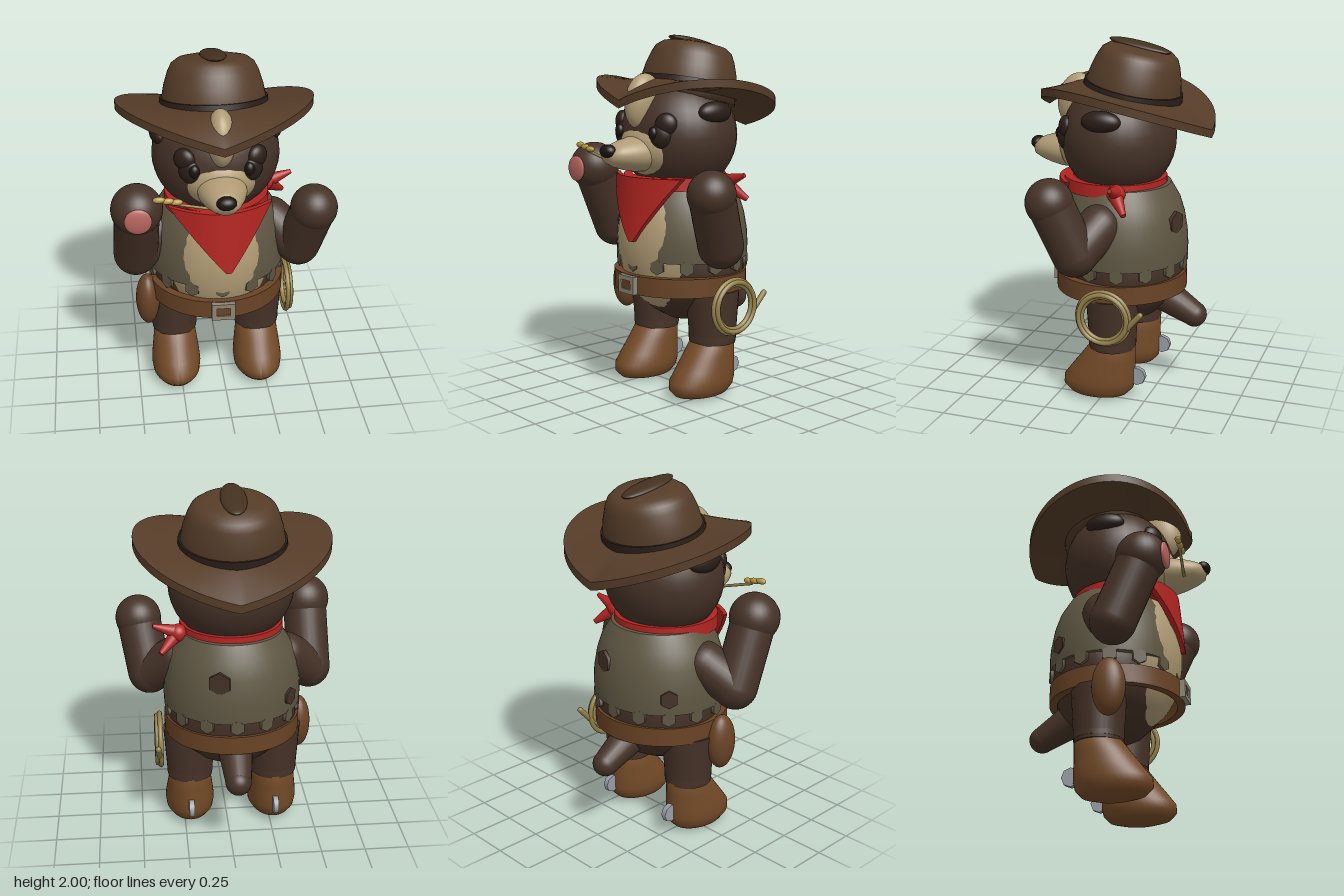
import * as THREE from 'three';
import { toCreasedNormals } from 'three/addons/utils/BufferGeometryUtils.js';

const FUR = 0x453227, DARK = 0x2b1e18, HAT = 0x553c28, CREAM = 0xb09b74, VEST = 0x5f5743, RED = 0xb02420,
  BELT = 0x694325, BOOT = 0x734a27, ROPE = 0x94804a, STEEL = 0x9a9fa6, PINK = 0xb86660, BLACK = 0x1a1411;

export function createModel() {
  const root = new THREE.Group();
  root.name = 'cowboyBear';
  const model = new THREE.Group();
  model.name = 'figure';
  model.position.x = -0.03;
  root.add(model);

  // helpers
  const add = (name, geo, color, pos = [0, 0, 0], parent = model) => {
    const m = new THREE.Mesh(geo, new THREE.MeshStandardMaterial({ color }));
    m.name = name;
    m.position.set(...pos);
    parent.add(m);
    return m;
  };
  const ball = (name, color, pos, radii, parent) => {
    const m = add(name, new THREE.SphereGeometry(1, 32, 20), color, pos, parent);
    m.scale.set(...radii);
    return m;
  };
  const points = list => list.map(p => new THREE.Vector2(...p));
  const lathe = (pts, seg = 48) => new THREE.LatheGeometry(points(pts), seg);
  const bend = (geo, rule) => {
    const p = geo.attributes.position, v = new THREE.Vector3();
    for (let i = 0; i < p.count; i++) {
      rule(v.fromBufferAttribute(p, i));
      p.setXYZ(i, v.x, v.y, v.z);
    }
    geo.computeVertexNormals();
    return geo;
  };
  const crease = geo => toCreasedNormals(geo, 0.7);
  // rod, cone or capsule running between two points
  const UP = new THREE.Vector3(0, 1, 0);
  const rod = (name, color, a, b, r0, r1, capsule = false) => {
    const A = new THREE.Vector3(...a), d = new THREE.Vector3(...b).sub(A), len = d.length();
    const geo = capsule ? new THREE.CapsuleGeometry(r0, len, 10, 28) : new THREE.CylinderGeometry(r1, r0, len, 20);
    const m = add(name, geo, color, A.addScaledVector(d, 0.5).toArray());
    m.quaternion.setFromUnitVectors(UP, d.normalize());
  };

  // torso, belly and vest
  const body = add('body', lathe([[0, 0.385], [0.1, 0.4], [0.2, 0.45], [0.29, 0.53], [0.34, 0.61], [0.365, 0.7],
    [0.365, 0.8], [0.33, 1.0], [0.26, 1.15], [0, 1.2]]), FUR, [0, 0, -0.055]);
  body.scale.z = 0.88;
  ball('belly', CREAM, [0, 0.87, 0.1], [0.29, 0.4, 0.24]);
  const vest = add('vest', crease(lathe([[0.35, 0.775], [0.385, 0.775], [0.388, 0.84], [0.383, 0.92], [0.365, 1.02],
    [0.335, 1.11], [0.28, 1.2], [0, 1.23]])), VEST, [0, 0, -0.035]);
  vest.scale.z = 0.935;

  // plates lying on the vest: hem tabs and patches
  const plate = (name, color, angle, y, r, rad) => {
    const m = add(name, new THREE.CylinderGeometry(rad, rad, 0.02, 6), color,
      [Math.sin(angle) * r, y, Math.cos(angle) * r * 0.935 - 0.035]);
    m.rotation.set(Math.PI / 2, angle, 0, 'YXZ');
  };
  for (let i = 0; i < 14; i++) plate('hemTab', VEST, i * Math.PI / 7, 0.752, 0.375, 0.043);
  plate('vestPatch', FUR, Math.PI - 0.26, 1.01, 0.366, 0.065);
  plate('vestPatch', FUR, Math.PI + 0.9, 0.87, 0.384, 0.052);

  // belt, buckle and holster
  const belt = add('belt', crease(lathe([[0.34, 0.59], [0.385, 0.59], [0.385, 0.695], [0.34, 0.695], [0.34, 0.59]])), BELT, [0, 0, -0.022]);
  belt.scale.z = 0.965;
  const frame = new THREE.Shape(points([[-0.065, -0.05], [0.065, -0.05], [0.065, 0.05], [-0.065, 0.05]]));
  frame.holes.push(new THREE.Path(points([[-0.038, -0.025], [-0.038, 0.025], [0.038, 0.025], [0.038, -0.025]])));
  add('buckle', new THREE.ExtrudeGeometry(frame, { depth: 0.035, bevelEnabled: false }), 0x8f8674, [0, 0.642, 0.34]);
  add('bucklePlate', new THREE.BoxGeometry(0.08, 0.055, 0.03), BELT, [0, 0.642, 0.352]);
  ball('holster', BELT, [-0.402, 0.555, 0.05], [0.068, 0.16, 0.09]);

  // coiled rope on the left hip
  [[0.15, 0.414], [0.124, 0.42], [0.138, 0.432]].forEach(([r, x]) => {
    const t = add('lassoCoil', new THREE.TorusGeometry(r, 0.014, 8, 48), ROPE, [x, 0.525, -0.055]);
    t.rotation.y = Math.PI / 2;
  });
  rod('lassoEnd', ROPE, [0.42, 0.46, -0.17], [0.43, 0.575, -0.27], 0.016, 0.016, true);

  // tail
  rod('tail', FUR, [0, 0.56, -0.26], [0, 0.45, -0.455], 0.1, 0.072);
  ball('tailTip', FUR, [0, 0.45, -0.455], [0.072, 0.072, 0.072]);

  // legs, boots and spurs
  for (const s of [-1, 1]) {
    add('leg', new THREE.CylinderGeometry(0.15, 0.13, 0.3, 32), FUR, [s * 0.245, 0.45, -0.05]);
    add('trouserCuff', new THREE.CylinderGeometry(0.133, 0.133, 0.035, 32), FUR, [s * 0.245, 0.335, -0.05]);
    const boot = lathe([[0, 0], [0.07, 0.003], [0.115, 0.02], [0.138, 0.055], [0.144, 0.1], [0.138, 0.16],
      [0.127, 0.24], [0.118, 0.31], [0.1, 0.322], [0, 0.322]], 40);
    bend(boot, v => {
      const low = THREE.MathUtils.clamp((0.32 - v.y) / 0.24, 0, 1);
      v.z = v.z * (1.08 + 0.4 * low) - 0.055 + 0.09 * low;
    });
    add('boot', boot, BOOT, [s * 0.245, 0, 0]);
    const spur = add('spur', new THREE.CylinderGeometry(0.052, 0.052, 0.03, 8), STEEL, [s * 0.245, 0.135, -0.195]);
    spur.rotation.z = Math.PI / 2;
  }

  // arms: one raised in greeting, one bent
  const arm = (side, shoulder, elbow, hand, r) => {
    rod(side + 'UpperArm', FUR, shoulder, elbow, 0.122, 0.122, true);
    rod(side + 'Forearm', FUR, elbow, hand, 0.124, 0.124, true);
    ball(side + 'Paw', FUR, hand, [r, r, r]);
  };
  arm('left', [0.31, 1.015, 0], [0.46, 0.89, 0.09], [0.515, 1.18, 0.208], 0.13);
  arm('right', [-0.31, 1.015, 0], [-0.46, 0.89, 0.09], [-0.45, 1.25, 0.245], 0.14);
  ball('pawPad', PINK, [-0.45, 1.245, 0.374], [0.073, 0.073, 0.02]);

  // neckerchief
  add('neckerchiefBand', crease(lathe([[0.24, 1.165], [0.292, 1.165], [0.288, 1.235], [0.24, 1.235]])), RED, [0, 0, 0.015]);
  const flap = bend(new THREE.BoxGeometry(2, 1, 0.03, 16, 10, 1), v => {
    const t = 0.5 - v.y;
    v.x = v.x * (0.015 + 0.265 * (1 - t)) + 0.03 * t;
    v.y = 1.235 - 0.35 * t;
    v.z += 0.315 + 0.035 * t - 1.5 * v.x * v.x;
  });
  add('neckerchiefFlap', crease(flap), RED);
  ball('neckerchiefKnot', RED, [0.3, 1.2, -0.09], [0.05, 0.05, 0.05]);
  rod('knotEnd', RED, [0.44, 1.25, -0.1], [0.29, 1.2, -0.09], 0.012, 0.045);
  rod('knotEnd', RED, [0.4, 1.11, -0.165], [0.3, 1.2, -0.08], 0.015, 0.045);

  // head and face
  ball('head', FUR, [0, 1.45, -0.005], [0.35, 0.33, 0.318]);
  ball('faceMask', CREAM, [0, 1.395, 0.165], [0.215, 0.17, 0.172]);
  const stripe = ball('foreheadStripe', CREAM, [0, 1.64, 0.245], [0.077, 0.155, 0.112]);
  stripe.rotation.x = -0.2;
  const snout = add('snout', lathe([[0.125, -0.08], [0.133, 0], [0.13, 0.05], [0.113, 0.11], [0.088, 0.17],
    [0.06, 0.215], [0, 0.235]]), CREAM, [0, 1.36, 0.27]);
  snout.rotation.x = Math.PI / 2;
  snout.scale.z = 0.74;
  ball('nose', BLACK, [0, 1.385, 0.485], [0.053, 0.037, 0.04]);
  for (const s of [-1, 1]) {
    // two overlapping lobes make each eye patch
    const upper = ball('eyePatch', DARK, [s * 0.19, 1.525, 0.238], [0.062, 0.062, 0.04]);
    const lower = ball('eyePatch', DARK, [s * 0.168, 1.465, 0.255], [0.062, 0.07, 0.04]);
    upper.rotation.y = lower.rotation.y = s * 0.6;
    ball('eye', BLACK, [s * 0.145, 1.478, 0.292], [0.028, 0.036, 0.025]);
    ball('ear', DARK, [s * 0.305, 1.585, -0.005], [0.055, 0.06, 0.11]);
  }

  // wheat stalk in the mouth
  rod('stalk', ROPE, [-0.08, 1.31, 0.39], [-0.28, 1.365, 0.415], 0.008, 0.008);
  for (let i = 0; i < 3; i++) ball('wheatGrain', 0xb59a48, [-0.25 - i * 0.045, 1.374 + i * 0.009, 0.42], [0.033, 0.017, 0.017]);

  // hat: brim folded up at the sides, then tilted crown
  const rings = 8, top = [], under = [];
  for (let i = 0; i <= rings; i++) {
    const r = 0.26 + 0.274 * i / rings;
    under.push([r, 0]);
    top.unshift([r, 0.045]);
  }
  const brim = bend(lathe([...under, ...top], 72), v => {
    const r = Math.hypot(v.x, v.z), side = Math.abs(v.x) / r;
    const t = THREE.MathUtils.clamp((r - 0.26) / 0.274, 0, 1);
    const drop = THREE.MathUtils.lerp(0.105, 0.16, THREE.MathUtils.clamp(v.z / r + 0.5, 0, 1));
    v.z = v.z * 0.885 - 0.06;
    v.y += 1.675 + 0.2 * (v.z + 0.06) + (0.03 * side - drop * (1 - side)) * t ** 1.3;
  });
  add('hatBrim', crease(brim), HAT);
  const hat = new THREE.Group();
  hat.name = 'hatTop';
  hat.position.set(0, 1.67, -0.075);
  hat.rotation.x = -0.2;
  model.add(hat);
  const crown = add('hatCrown', lathe([[0, -0.03], [0.284, -0.03], [0.284, 0.06], [0.268, 0.14], [0.245, 0.21], [0.225, 0.25],
    [0.19, 0.276], [0.13, 0.288], [0, 0.292]]), HAT, [0, 0, 0], hat);
  const band = add('hatBand', crease(lathe([[0.28, 0.005], [0.3, 0.005], [0.292, 0.072], [0.26, 0.072]])), DARK, [0, 0, 0], hat);
  crown.scale.z = band.scale.z = 0.93;
  ball('crownCrease', 0x43301f, [0, 0.291, 0.01], [0.07, 0.024, 0.178], hat);

  return root;
}
